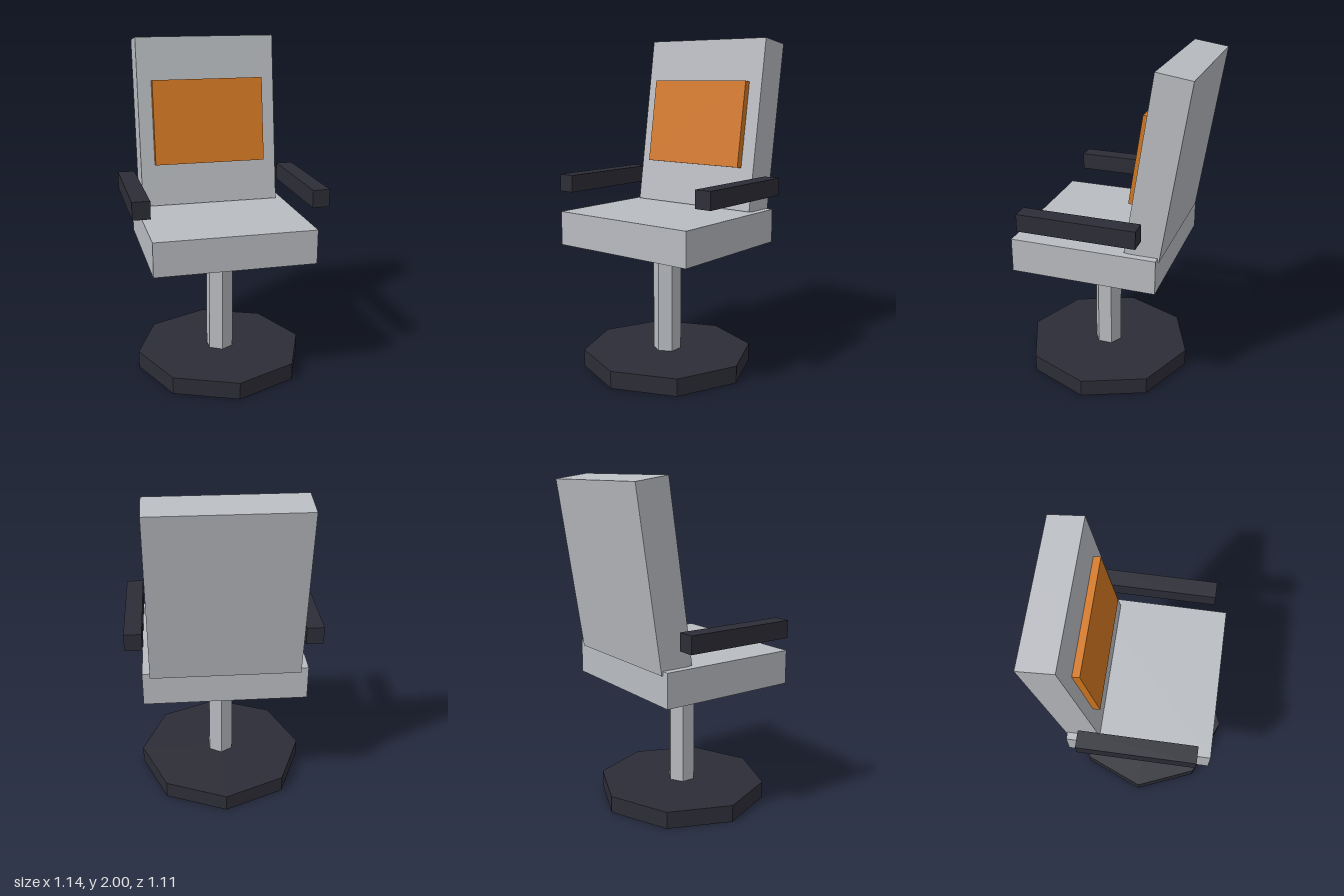
import * as THREE from 'three';

function material(name, color) {
  const m = new THREE.MeshStandardMaterial({ color });
  m.name = name;
  return m;
}

export function createModel() {
  const chair = new THREE.Group();
  chair.name = 'swivelChair';
  const grey = material('lightGrey', 0xb9bcc1);
  const dark = material('darkGrey', 0x2d2d37);
  const orange = material('orange', 0xd47822);
  const lean = -0.149; // backward tilt of the backrest
  const axisZ = 0.04; // column axis

  const add = (name, geometry, mat, x, y, z, tilt = 0) => {
    const mesh = new THREE.Mesh(geometry, mat);
    mesh.name = name;
    mesh.position.set(x, y, z);
    mesh.rotation.x = tilt;
    chair.add(mesh);
  };
  const box = (w, h, d) => new THREE.BoxGeometry(w, h, d);
  // faceted prism with one corner facing the front
  const prism = (r, h, sides) =>
    new THREE.CylinderGeometry(r, r, h, sides).toNonIndexed();
  const flat = (geometry) => {
    geometry.computeVertexNormals();
    return geometry;
  };

  // Octagonal foot and hexagonal column
  add('base', flat(prism(0.518, 0.104, 8)), dark, 0, 0.052, axisZ);
  add('column', flat(prism(0.085, 0.67, 6)), grey, 0, 0.437, axisZ + 0.003);

  // Seat, tilted backrest and its cushion
  add('seat', box(0.95, 0.204, 0.864), grey, 0, 0.869, 0.038);
  add('backrest', box(0.864, 1.036, 0.205), grey, 0, 1.4725, -0.377, lean);
  add('backCushion', box(0.692, 0.518, 0.042), orange, 0, 1.489, -0.254, lean);

  // Armrests
  for (const [name, side] of [['leftArmrest', 1], ['rightArmrest', -1]]) {
    add(name, box(0.102, 0.104, 0.691), dark, side * 0.519, 1.129, 0.038);
  }
  return chair;
}
